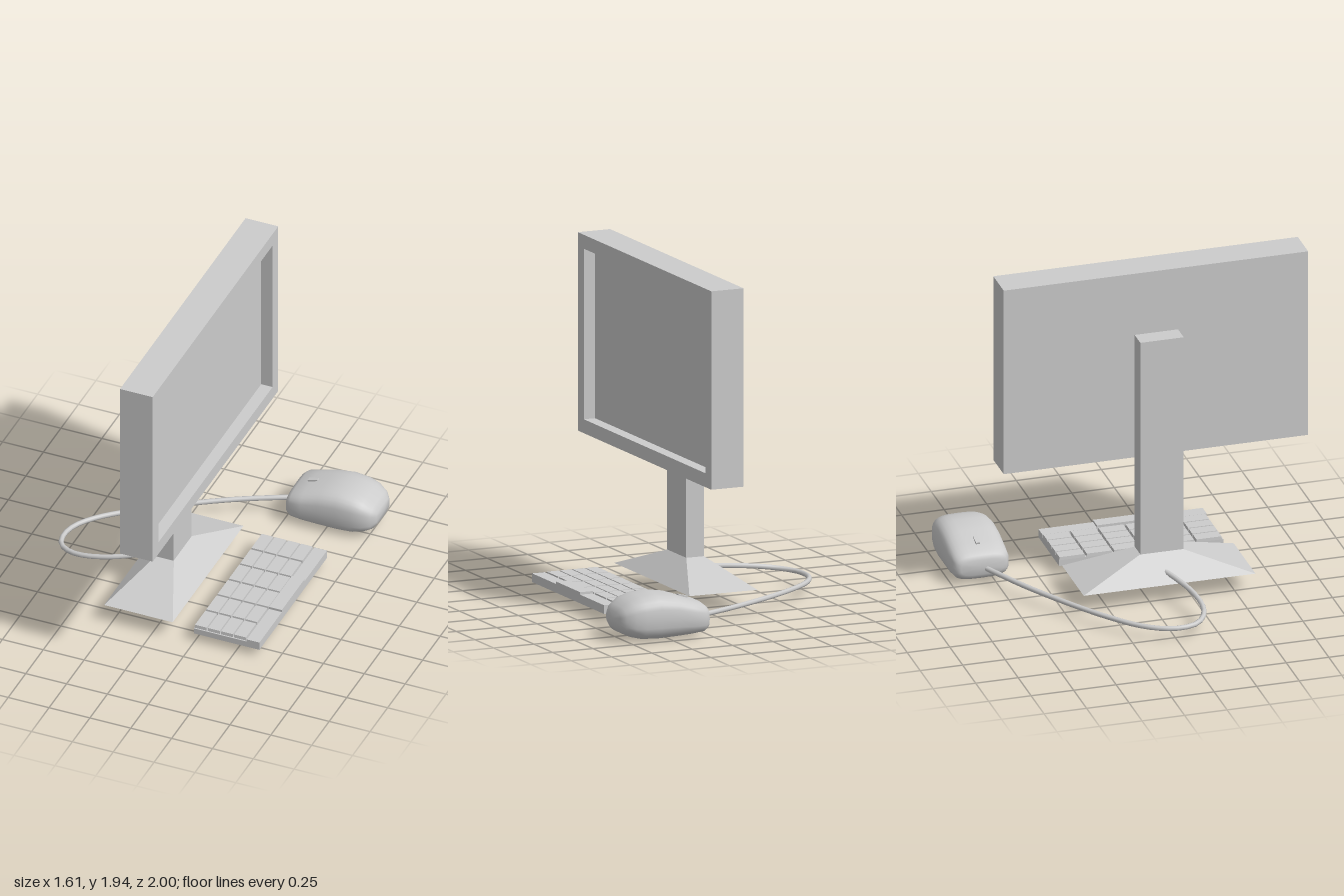
import * as THREE from 'three';
import { toCreasedNormals } from 'three/addons/utils/BufferGeometryUtils.js';

const material = new THREE.MeshStandardMaterial({ color: 0xcccccc });

function add(parent, name, geometry) {
  const mesh = new THREE.Mesh(geometry, material);
  mesh.name = name;
  parent.add(mesh);
  return mesh;
}

// Box given by its limits on each axis
function block(x0, x1, y0, y1, z0, z1) {
  return new THREE.BoxGeometry(x1 - x0, y1 - y0, z1 - z0)
    .translate((x0 + x1) / 2, (y0 + y1) / 2, (z0 + z1) / 2);
}

// Box whose top face is scaled about its centre
function tapered(x0, x1, y0, y1, z0, z1, sx, sz) {
  const g = new THREE.BoxGeometry(x1 - x0, y1 - y0, z1 - z0);
  const p = g.attributes.position;
  for (let i = 0; i < p.count; i++) {
    if (p.getY(i) > 0) p.setXYZ(i, p.getX(i) * sx, p.getY(i), p.getZ(i) * sz);
  }
  g.computeVertexNormals();
  return g.translate((x0 + x1) / 2, (y0 + y1) / 2, (z0 + z1) / 2);
}

function rectangle(PathType, x0, x1, y0, y1) {
  return new PathType([[x0, y0], [x1, y0], [x1, y1], [x0, y1]].map(([x, y]) => new THREE.Vector2(x, y)));
}

// Screen facing +x with a sunken panel, on a post and a flared foot
function createMonitor() {
  const monitor = new THREE.Group();
  monitor.name = 'monitor';
  const frame = rectangle(THREE.Shape, -1, 0.79, 0.8, 1.94);
  frame.holes.push(rectangle(THREE.Path, -0.92, 0.71, 0.88, 1.86));
  const bezel = new THREE.ExtrudeGeometry(frame, { depth: 0.07, bevelEnabled: false });
  add(monitor, 'screenBezel', bezel.rotateY(Math.PI / 2).translate(0.1, 0, 0));
  add(monitor, 'screenBody', block(-0.03, 0.1, 0.8, 1.94, -0.79, 1));
  add(monitor, 'standPost', block(-0.14, -0.03, 0.24, 1.56, -0.02, 0.235));
  add(monitor, 'standFoot', tapered(-0.295, 0.125, 0.11, 0.245, -0.4, 0.61, 0.262, 0.252));
  return monitor;
}

// Slab with a grid of keys and a front row holding a raised wide key
function createKeyboard() {
  const keyboard = new THREE.Group();
  keyboard.name = 'keyboard';
  add(keyboard, 'keyboardBase', block(0.245, 0.645, 0.05, 0.085, -0.38, 0.585));
  const pitchX = 0.08, pitchZ = 0.161;
  for (let row = 0; row < 4; row++) {
    for (let column = 0; column < 6; column++) {
      const x = 0.245 + row * pitchX, z = -0.38 + column * pitchZ;
      add(keyboard, 'key', tapered(x, x + 0.074, 0.085, 0.104, z, z + 0.152, 0.97, 0.97));
    }
  }
  add(keyboard, 'frontKeyRight', block(0.567, 0.645, 0.085, 0.1, -0.38, -0.06));
  add(keyboard, 'spaceKey', block(0.567, 0.645, 0.085, 0.114, -0.06, 0.265));
  add(keyboard, 'frontKeyLeft', block(0.567, 0.645, 0.085, 0.1, 0.265, 0.585));
  return keyboard;
}

// Mouse shell lofted along x through rounded-square sections
function mouseShell() {
  // x, bottom, top, half width
  const stations = [
    [0.255, 0.1, 0.1, 0], [0.255, 0.055, 0.145, 0.125], [0.265, 0.035, 0.17, 0.148],
    [0.29, 0.018, 0.19, 0.165], [0.36, 0.01, 0.21, 0.171], [0.46, 0.004, 0.243, 0.173],
    [0.57, 0, 0.26, 0.173], [0.66, 0.005, 0.25, 0.168], [0.72, 0.02, 0.23, 0.156],
    [0.77, 0.045, 0.197, 0.13], [0.795, 0.08, 0.165, 0.095], [0.802, 0.125, 0.125, 0],
  ];
  const sides = 28, positions = [], index = [];
  const round = (v) => Math.sign(v) * Math.abs(v) ** 0.6;
  stations.forEach(([x, low, high, half], i) => {
    for (let j = 0; j < sides; j++) {
      const a = (j / sides) * Math.PI * 2;
      positions.push(x, (low + high) / 2 + round(Math.sin(a)) * (high - low) / 2,
        -0.828 + round(Math.cos(a)) * half);
      if (i === stations.length - 1) continue;
      const k = (j + 1) % sides, p = i * sides, q = p + sides;
      index.push(p + j, q + j, p + k, p + k, q + j, q + k);
    }
  });
  const g = new THREE.BufferGeometry();
  g.setAttribute('position', new THREE.Float32BufferAttribute(positions, 3));
  g.setIndex(index);
  return toCreasedNormals(g, 0.75);
}

// Mouse with a small wheel and a cable looping back to the stand
function createMouse() {
  const mouse = new THREE.Group();
  mouse.name = 'mouse';
  add(mouse, 'mouseShell', mouseShell());
  const wheel = add(mouse, 'scrollWheel', new THREE.BoxGeometry(0.06, 0.02, 0.024));
  wheel.position.set(0.37, 0.212, -0.828);
  wheel.rotation.z = 0.25;
  const path = new THREE.CatmullRomCurve3([
    [0.28, 0.085, -0.81], [-0.03, 0.082, -0.655], [-0.31, 0.078, -0.485], [-0.53, 0.075, -0.33],
    [-0.69, 0.074, -0.19], [-0.77, 0.075, -0.07], [-0.79, 0.076, 0.035], [-0.765, 0.08, 0.125],
    [-0.69, 0.09, 0.185], [-0.59, 0.104, 0.207], [-0.44, 0.125, 0.19], [-0.31, 0.145, 0.145],
    [-0.2, 0.162, 0.095],
  ].map((p) => new THREE.Vector3(...p)));
  add(mouse, 'cable', new THREE.TubeGeometry(path, 40, 0.015, 8));
  return mouse;
}

export function createModel() {
  const model = new THREE.Group();
  model.name = 'desktopComputer';
  model.add(createMonitor(), createKeyboard(), createMouse());
  return model;
}
